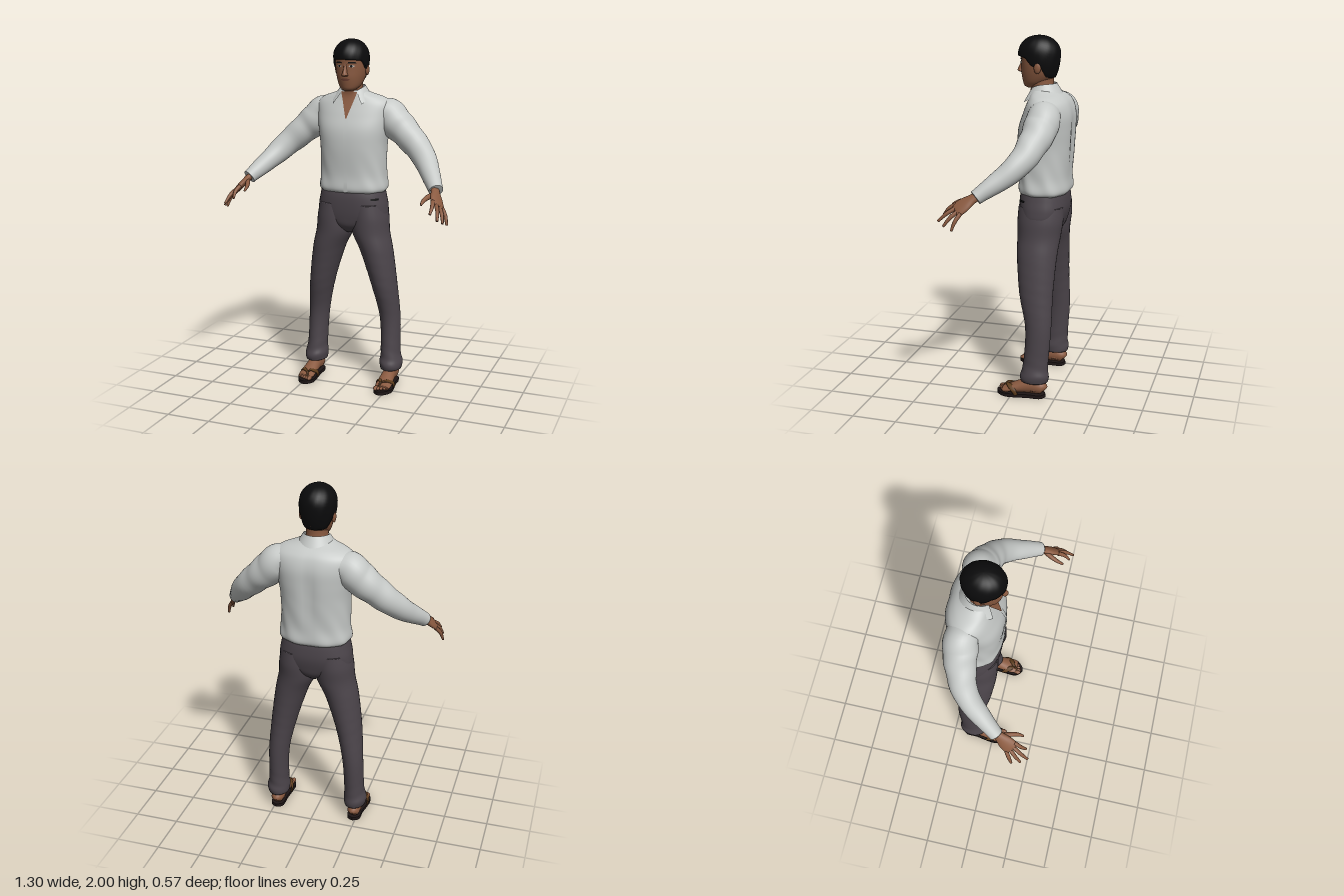
import * as THREE from 'three';

const mat = (name, color, side = THREE.FrontSide) =>
  Object.assign(new THREE.MeshStandardMaterial({ color, side }), { name });

// Catmull-Rom blend of cross-sections [x, y, z, ra, rb, power]
function sample(secs, s) {
  const n = secs.length - 1, i = Math.min(Math.floor(s), n - 1), t = s - i;
  const [a, b, c, d] = [-1, 0, 1, 2].map(k => secs[Math.min(n, Math.max(0, i + k))]);
  return [0, 1, 2, 3, 4, 5].map(k => {
    const [p, q, r, w] = [a, b, c, d].map(v => v[k] ?? 2);
    return q + 0.5 * t * (r - p + t * (2 * p - 5 * q + 4 * r - w + t * (3 * (q - r) + w - p)));
  });
}

function finish(pos, idx) {
  const g = new THREE.BufferGeometry();
  g.setAttribute('position', new THREE.Float32BufferAttribute(pos, 3));
  g.setIndex(idx);
  g.computeVertexNormals();
  return g;
}

// Closed skin over cross-sections; level rings lie flat, others follow the path
function loft(secs, { ref = [1, 0, 0], level = false, sides = 28, steps = 5, warp } = {}) {
  const N = (secs.length - 1) * steps, pos = [], idx = [];
  const at = s => new THREE.Vector3(...sample(secs, s).slice(0, 3));
  for (let i = 0; i <= N; i++) {
    const s = i / steps, q = sample(secs, s), c = at(s);
    const t = level ? new THREE.Vector3(0, 1, 0)
      : at(Math.min(N / steps, s + 0.1)).sub(at(Math.max(0, s - 0.1))).normalize();
    const u = new THREE.Vector3(...ref);
    u.addScaledVector(t, -u.dot(t)).normalize();
    const v = t.clone().cross(u);
    for (let j = 0; j < sides; j++) {
      const a = j / sides * Math.PI * 2;
      const pw = k => Math.sign(k) * Math.abs(k) ** (2 / q[5]);
      const p = c.clone().addScaledVector(u, q[3] * pw(Math.cos(a))).addScaledVector(v, q[4] * pw(Math.sin(a)));
      if (warp) warp(p, c, a);
      pos.push(p.x, p.y, p.z);
      if (i < N) {
        const k = i * sides + j, m = i * sides + (j + 1) % sides;
        idx.push(k, m, k + sides, m, m + sides, k + sides);
      }
    }
  }
  const c0 = pos.length / 3;
  pos.push(...at(0).toArray(), ...at(N / steps).toArray());
  for (let j = 0; j < sides; j++) {
    const m = (j + 1) % sides;
    idx.push(c0, m, j, c0 + 1, N * sides + j, N * sides + m);
  }
  return finish(pos, idx);
}

// Depth of the front of a level loft at (x, y)
function frontZ(secs, x, y) {
  let lo = 0, hi = secs.length - 1;
  for (let i = 0; i < 30; i++) {
    const m = (lo + hi) / 2;
    if (sample(secs, m)[1] < y) lo = m; else hi = m;
  }
  const [, , z, rx, rz, n] = sample(secs, lo);
  return z + rz * Math.max(0, 1 - Math.abs(x / rx) ** n) ** (1 / n);
}

// Thin panel laid on the front of a level loft
function patch(secs, cx, y0, y1, half, off) {
  const g = new THREE.PlaneGeometry(2, 1, 8, 14), p = g.attributes.position;
  for (let i = 0; i < p.count; i++) {
    const t = p.getY(i) + 0.5, y = y0 + (y1 - y0) * t, x = cx + p.getX(i) * half(t);
    p.setXYZ(i, x, y, frontZ(secs, x, y) + off);
  }
  g.computeVertexNormals();
  return g;
}

function mirrored(g) {
  const m = g.clone().scale(-1, 1, 1), ix = m.index.array;
  for (let i = 0; i < ix.length; i += 3) [ix[i], ix[i + 1]] = [ix[i + 1], ix[i]];
  m.computeVertexNormals();
  return m;
}

export function createModel() {
  const root = new THREE.Group();
  root.name = 'standingMan';
  const skin = mat('skin', 0x8a5a40, THREE.DoubleSide), shirt = mat('shirtCloth', 0xc6c9c7, THREE.DoubleSide);
  const trousers = mat('trouserCloth', 0x4c454b), hair = mat('blackHair', 0x0b0b0c, THREE.DoubleSide);
  const sole = mat('sandalSole', 0x1e1616), strap = mat('sandalStrap', 0x5c3c1c);
  const white = mat('eyeWhite', 0xb9b2aa), lip = mat('lips', 0x6e4032);
  const add = (name, g, m) => {
    const mesh = new THREE.Mesh(g, m);
    mesh.name = name;
    root.add(mesh);
  };
  const pair = (name, g, m) => { add(name + 'Left', g, m); add(name + 'Right', mirrored(g), m); };
  const ball = (x, y, z, a, b, c) => new THREE.SphereGeometry(1, 16, 12).scale(a, b, c).translate(x, y, z);

  // Shirt body with spine groove and loose folds above the hem
  const torso = [
    [0, 1.145, -.13, .182, .128, 2.4], [0, 1.17, -.13, .198, .143, 2.4], [0, 1.25, -.13, .19, .14, 2.4],
    [0, 1.4, -.13, .19, .15, 2.4], [0, 1.5, -.135, .203, .15, 2.4], [0, 1.58, -.147, .217, .137, 2.3],
    [0, 1.64, -.15, .218, .117, 2.2], [0, 1.675, -.143, .185, .098, 2], [0, 1.7, -.127, .115, .078, 2],
    [0, 1.72, -.11, .068, .064, 2]];
  add('shirtBody', loft(torso, {
    level: true, sides: 56, steps: 6, warp: (p, c, a) => {
      const low = Math.max(0, Math.min(1, (1.42 - p.y) / .2));
      const k = 1 + .014 * low * Math.sin(9 * a + p.y * 30) * (1 - Math.max(0, -Math.sin(a)) ** 8);
      p.x *= k;
      p.z = c.z + (p.z - c.z) * k;
      if (p.z < c.z) p.z += .014 * Math.exp(-((p.x / .035) ** 2) - ((p.y - 1.45) / .16) ** 2);
    },
  }), shirt);
  add('openNeckline', patch(torso, 0, 1.565, 1.712, t => .002 + .046 * t, .005), skin);
  add('buttonPlacket', patch(torso, .004, 1.155, 1.567, () => .011, .005), shirt);

  // Collar wrapping the neck, with two front points
  const collar = new THREE.PlaneGeometry(1, 1, 48, 6), cp = collar.attributes.position;
  for (let i = 0; i < cp.count; i++) {
    const u = cp.getX(i) * 2, t = .5 - cp.getY(i), f = Math.abs(u) ** 4;
    const a = u * (2.48 - .12 * t), r = .07 + .034 * t + .016 * t * f;
    const top = 1.745 - .03 * f, low = 1.69 - .045 * f;
    cp.setXYZ(i, Math.sin(a) * r, top + (low - top) * t, -.113 - Math.cos(a) * (r + .002 + .004 * t * f));
  }
  collar.computeVertexNormals();
  add('collar', collar, shirt);

  // Sleeves
  pair('sleeve', loft([
    [.13, 1.6, -.16, .07, .08], [.195, 1.583, -.165, .09, .09], [.243, 1.535, -.16, .092, .092],
    [.31, 1.478, -.145, .082, .083], [.41, 1.385, -.1, .07, .068], [.485, 1.3, -.01, .056, .055],
    [.535, 1.242, .07, .043, .042], [.553, 1.22, .098, .04, .038]], {
    ref: [.7, .7, 0], sides: 32, steps: 7, warp: (p, c, a) => {
      p.sub(c).multiplyScalar(1 + .02 * Math.sin(c.x * 75 + 2 * Math.sin(a))).add(c);
    },
  }), shirt);

  // Hands: flat palm, four fingers and a thumb
  const spread = [.62, -.58, -.54];
  pair('palm', loft([[.54, 1.235, .078, .027, .02], [.556, 1.212, .115, .029, .019],
    [.573, 1.185, .152, .042, .018], [.588, 1.16, .185, .044, .015], [.592, 1.153, .195, .038, .009]],
  { ref: spread, sides: 20 }), skin);
  [[.57, 1.125, .265], [.615, 1.098, .282], [.635, 1.078, .247], [.645, 1.06, .2]].forEach((tip, i) => {
    const base = [.585, 1.164, .18].map((c, k) => c + spread[k] * (i - 1.5) * .022);
    const mid = base.map((c, k) => (c + tip[k]) / 2 + [.006, .006, .002][k]);
    pair('finger' + (i + 1), loft([[...base, .011, .012], [...mid, .0105, .0105], [...tip, .007, .006]],
      { ref: spread, sides: 10 }), skin);
  });
  pair('thumb', loft([[.556, 1.205, .115, .016, .014], [.53, 1.196, .165, .014, .013],
    [.517, 1.183, .205, .011, .01], [.514, 1.167, .238, .006, .006]], { ref: spread, sides: 12 }), skin);

  // Trousers: hips and two legs
  const hips = [[0, .91, -.12, .04, .07], [0, .95, -.122, .14, .11], [0, 1, -.125, .2, .125, 2.3],
    [0, 1.06, -.128, .203, .134, 2.4], [0, 1.12, -.127, .192, .133, 2.4], [0, 1.165, -.127, .183, .125, 2.4]];
  add('trouserHips', loft(hips, { level: true, sides: 40 }), trousers);
  pair('trouserLeg', loft([
    [.235, .095, -.13, .06, .078], [.236, .13, -.13, .067, .081], [.231, .2, -.136, .057, .071],
    [.222, .4, -.147, .059, .073], [.192, .6, -.126, .073, .095], [.147, .8, -.118, .093, .112],
    [.11, .91, -.12, .108, .121], [.102, 1, -.125, .108, .128], [.095, 1.08, -.127, .1, .125]], {
    level: true, sides: 32, steps: 8, warp: (p, c, a) => {
      const fold = .025 * Math.max(0, 1 - c.y / .35) + .008 * Math.exp(-(((c.y - .6) / .15) ** 2));
      p.sub(c).multiplyScalar(1 + fold * Math.sin(c.y * 90 + 2 * a)).add(c);
    },
  }), trousers);
  add('pocketTrim', patch(hips, .16, 1.108, 1.12, () => .018, .008), hair);

  // Feet and sandals
  pair('ankle', loft([[.236, .04, -.135, .036, .05], [.236, .09, -.135, .034, .045], [.235, .15, -.135, .038, .047]],
    { level: true, sides: 20 }), skin);
  pair('foot', loft([[.236, .045, -.192, .012, .016], [.236, .055, -.175, .034, .036], [.237, .064, -.11, .037, .045],
    [.238, .052, -.045, .042, .034], [.24, .037, .015, .047, .02], [.24, .031, .05, .042, .013]],
  { sides: 24 }), skin);
  for (let i = 0; i < 5; i++) {
    const r = i ? .0095 : .0125;
    pair('toe' + (i + 1), ball(.207 + i * .0165, .03, .058 - i * i * .0018, r, r, .024), skin);
  }
  // Sole outline in (x, -z), heel first
  const outline = new THREE.SplineCurve([
    [.236, .195], [.2, .17], [.197, .09], [.19, .01], [.19, -.05], [.225, -.088], [.262, -.075], [.29, -.03],
    [.288, .03], [.276, .1], [.272, .17], [.236, .195]].map(p => new THREE.Vector2(...p))).getPoints(60);
  const soleGeo = new THREE.ExtrudeGeometry(new THREE.Shape(outline.slice(0, -1)), { depth: .02, bevelEnabled: false });
  soleGeo.rotateX(-Math.PI / 2).setIndex([...Array(soleGeo.attributes.position.count).keys()]);
  pair('sandalSole', soleGeo, sole);
  for (const [i, x] of [[1, .191], [2, .286]]) {
    pair('sandalStrap' + i, loft([[.224, .03, .055, .005, .005], [.228, .056, .036, .007, .005],
      [(x + .235) / 2, .062, .012, .014, .005], [x, .042, -.02, .014, .005], [x, .015, -.035, .012, .005]],
    { ref: [0, 0, 1], sides: 12 }), strap);
  }

  // Neck and head
  add('neck', loft([[0, 1.6, -.135, .06, .06], [0, 1.68, -.115, .06, .064], [0, 1.74, -.103, .059, .064],
    [0, 1.8, -.1, .06, .07]], { level: true }), skin);
  const head = [[0, 1.717, -.045, .022, .022], [0, 1.728, -.052, .043, .046], [0, 1.75, -.07, .062, .072],
    [0, 1.79, -.086, .077, .096], [0, 1.83, -.09, .085, .101], [0, 1.87, -.09, .088, .102],
    [0, 1.92, -.09, .088, .104], [0, 1.96, -.09, .07, .085], [0, 1.985, -.09, .03, .04]];
  add('head', loft(head, { level: true, sides: 36 }), skin);
  pair('ear', ball(.089, 1.832, -.1, .011, .031, .02), skin);
  add('nose', loft([[0, 1.8, .012, .012, .008], [0, 1.807, .016, .018, .018], [0, 1.82, .015, .013, .017],
    [0, 1.845, .008, .009, .012], [0, 1.872, .004, .008, .008]], { level: true, sides: 16 }), skin);
  const almond = w => t => w * Math.sin(Math.PI * (.1 + .8 * t));
  add('mouth', patch(head, 0, 1.775, 1.79, almond(.026), .003), lip);
  pair('eye', patch(head, .036, 1.85, 1.862, almond(.015), .002), white);
  pair('iris', patch(head, .035, 1.85, 1.862, almond(.007), .004), hair);
  pair('eyebrow', patch(head, .037, 1.871, 1.879, t => .021 - .004 * t, .003), hair);

  // Hair cap with a hairline that drops from fringe to nape
  const line = [[-1.1, 1.775], [-.6, 1.78], [-.35, 1.82], [-.15, 1.862], [0, 1.835], [.2, 1.845], [.5, 1.885], [1.1, 1.893]];
  const hairline = s => {
    const i = line.findIndex(l => s < l[0]), [a, b] = [line[i - 1], line[i]];
    return a[1] + (b[1] - a[1]) * (s - a[0]) / (b[0] - a[0]);
  };
  const pos = [], idx = [], M = 64, R = 18;
  for (let i = 0; i <= R + 1; i++) {
    for (let j = 0; j < M; j++) {
      const a = j / M * Math.PI * 2, s = Math.sin(a);
      const y = 2 - (2 - hairline(s)) * (1 - Math.cos(Math.min(i, R) / R * Math.PI / 2));
      const f = y > 1.9 ? Math.max(0, 1 - ((y - 1.9) / .1) ** 2) ** .46 : 1 - .24 * ((1.9 - y) / .125) ** 2;
      const k = f * (i > R ? .82 : 1 + .008 * Math.sin(11 * a + y * 50));
      pos.push(Math.cos(a) * .099 * k, y, -.088 + s * .117 * k);
      if (i <= R) {
        const p = i * M + j, q = i * M + (j + 1) % M;
        idx.push(p, q, p + M, q, q + M, p + M);
      }
    }
  }
  add('hair', finish(pos, idx), hair);

  return root;
}
